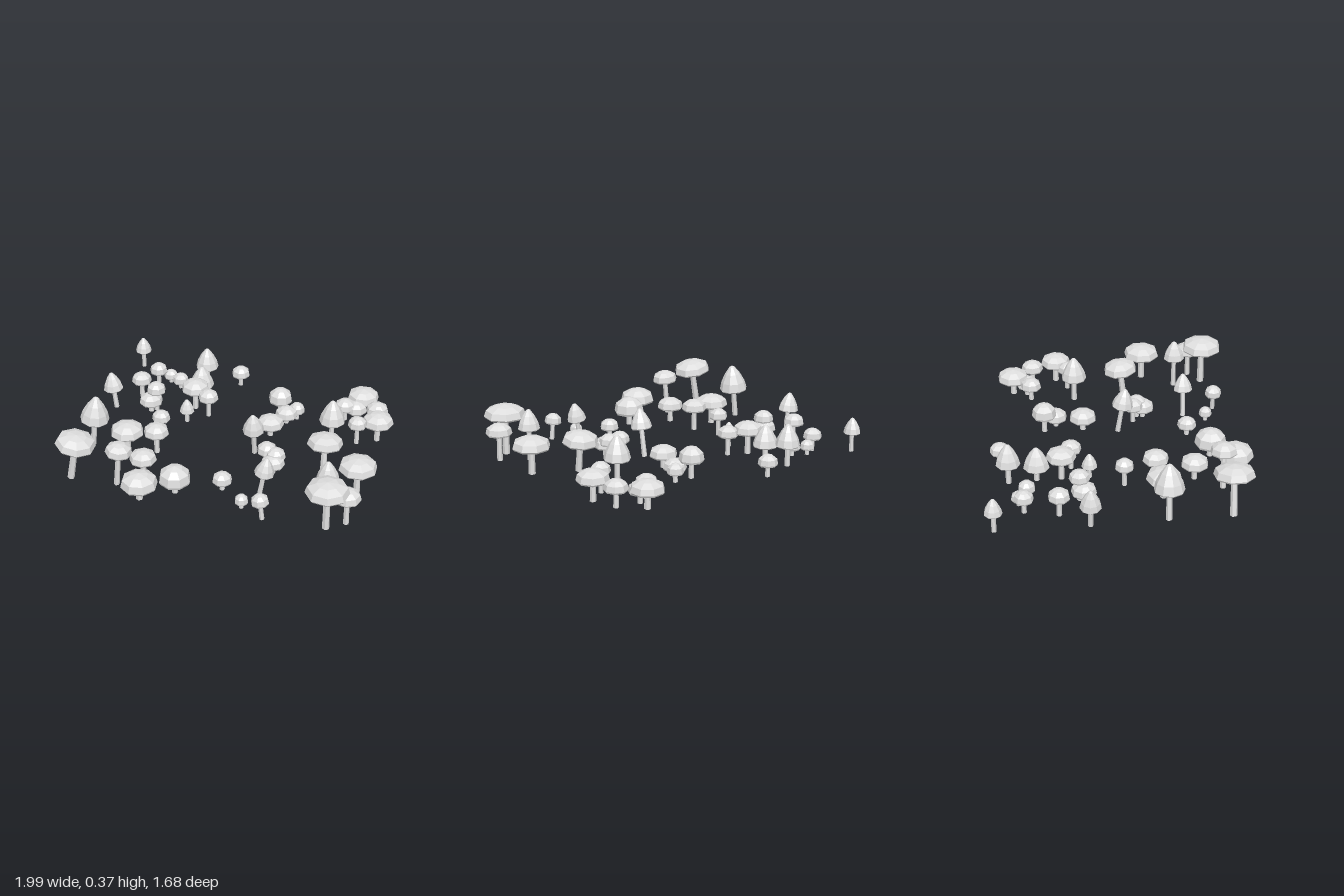
import * as THREE from 'three';

const grey = new THREE.MeshStandardMaterial({ color: 0xdddddd, flatShading: true });
grey.name = 'pale grey';

// Each row: cap x, cap z, top height, cap radius, [foot offset x, foot offset z, cap height]
const backLeftFlat = [
  [-0.19, -0.752, 0.148, 0.063], [-0.75, -0.61, 0.155, 0.061], [-0.67, -0.64, 0.1, 0.048],
  [-0.58, -0.59, 0.115, 0.055], [-0.795, -0.4, 0.19, 0.068], [-0.67, -0.245, 0.14, 0.08],
  [-0.64, -0.27, 0.215, 0.065], [-0.395, -0.37, 0.22, 0.095], [-0.28, -0.305, 0.2, 0.068],
  [-0.5, 0.015, 0.19, 0.06],
];
const backLeftBell = [
  [-0.93, -0.79, 0.23, 0.056], [-0.42, -0.7, 0.28, 0.078], [-0.4, -0.525, 0.235, 0.083],
  [-0.93, -0.22, 0.265, 0.067, 0.03, 0], [-0.395, -0.195, 0.17, 0.05],
];
const frontLeftFlat = [
  [-0.65, 0.242, 0.205, 0.11], [-0.46, 0.212, 0.215, 0.083], [-0.46, 0.457, 0.17, 0.088],
  [-0.555, 0.62, 0.31, 0.085, -0.03, 0], [-0.835, 0.64, 0.33, 0.128, -0.06, 0],
  [-0.385, 0.722, 0.193, 0.117, 0, 0, 0.1], [-0.2, 0.592, 0.195, 0.102, 0, 0, 0.115],
];
const frontLeftBell = [[-0.87, 0.25, 0.37, 0.095, -0.04, 0]];
const backRightFlat = [
  [0.18, -0.458, 0.21, 0.08, 0, 0, 0.1], [0.3, -0.445, 0.125, 0.053], [0.245, -0.38, 0.125, 0.075],
  [0.185, -0.203, 0.15, 0.09], [0.705, -0.655, 0.185, 0.107], [0.61, -0.535, 0.16, 0.07],
  [0.68, -0.56, 0.14, 0.075], [0.83, -0.52, 0.18, 0.075], [0.87, -0.355, 0.205, 0.102],
  [0.75, -0.28, 0.2, 0.062],
];
const backRightBell = [[0.59, -0.24, 0.32, 0.085]];
const frontRightFlat = [
  [0.26, 0.137, 0.17, 0.065], [0.325, 0.167, 0.16, 0.065], [0.32, 0.207, 0.13, 0.076],
  [0.622, 0.082, 0.268, 0.115, 0, 0.03], [0.873, 0.25, 0.25, 0.122], [0.07, 0.475, 0.128, 0.063],
  [0.24, 0.622, 0.1, 0.043], [0.38, 0.692, 0.18, 0.056, 0.02, 0], [0.885, 0.582, 0.25, 0.085],
  [0.78, 0.662, 0.335, 0.135],
];
const frontRightBell = [
  [0.145, 0.055, 0.315, 0.07, 0, -0.05], [0.34, 0.48, 0.295, 0.063, -0.05, 0],
  [0.735, 0.465, 0.342, 0.071],
];

// Unit cap profiles (radius, height), from the underside up to the apex
const lathe = (points, sides) =>
  new THREE.LatheGeometry(points.map(([r, y]) => new THREE.Vector2(r, y)), sides);
const flatCap = lathe([[0, 0.1], [0.93, 0], [1, 0.14], [0.9, 0.6], [0.5, 0.88], [0, 1]], 8);
const bellCap = lathe([[0, 0.08], [0.93, 0], [1, 0.05], [0.86, 0.35], [0.55, 0.68], [0.2, 0.94], [0, 1]], 9);
const stemShape = new THREE.CylinderGeometry(0.85, 1, 1, 6);
stemShape.translate(0, 0.5, 0);

// One leaning mushroom: a tapered stem with a cap on the same axis
function mushroom([x, z, top, r, dx = 0, dz = 0, flatHeight = 0.06 + 0.2 * r], bell, turn) {
  const group = new THREE.Group();
  group.name = bell ? 'bellMushroom' : 'flatMushroom';
  const capHeight = Math.min(bell ? 1.9 * r : flatHeight, top * 0.62);
  const axis = new THREE.Vector3(-dx, top, -dz);
  const length = axis.length();

  const stem = new THREE.Mesh(stemShape, grey);
  stem.name = 'stem';
  const stemRadius = 0.01 + 0.1 * r;
  stem.scale.set(stemRadius, length - capHeight * 0.85, stemRadius);

  const cap = new THREE.Mesh(bell ? bellCap : flatCap, grey);
  cap.name = 'cap';
  cap.scale.set(r, capHeight, r);
  cap.position.y = length - capHeight;
  cap.rotation.y = turn;

  group.add(stem, cap);
  group.quaternion.setFromUnitVectors(new THREE.Vector3(0, 1, 0), axis.normalize());
  // Keep the cap's rim centred on (x, z) however far the stem leans
  const rim = 1 - capHeight / length;
  group.position.set(x + dx * rim, 0, z + dz * rim);
  return group;
}

export function createModel() {
  const model = new THREE.Group();
  model.name = 'mushroomPatch';
  const clusters = {
    backLeftCluster: [backLeftFlat, backLeftBell],
    frontLeftCluster: [frontLeftFlat, frontLeftBell],
    backRightCluster: [backRightFlat, backRightBell],
    frontRightCluster: [frontRightFlat, frontRightBell],
  };
  for (const [name, [flats, bells]] of Object.entries(clusters)) {
    const cluster = new THREE.Group();
    cluster.name = name;
    flats.forEach((row, i) => cluster.add(mushroom(row, false, i * 0.9)));
    bells.forEach((row, i) => cluster.add(mushroom(row, true, i * 1.3)));
    model.add(cluster);
  }
  return model;
}
